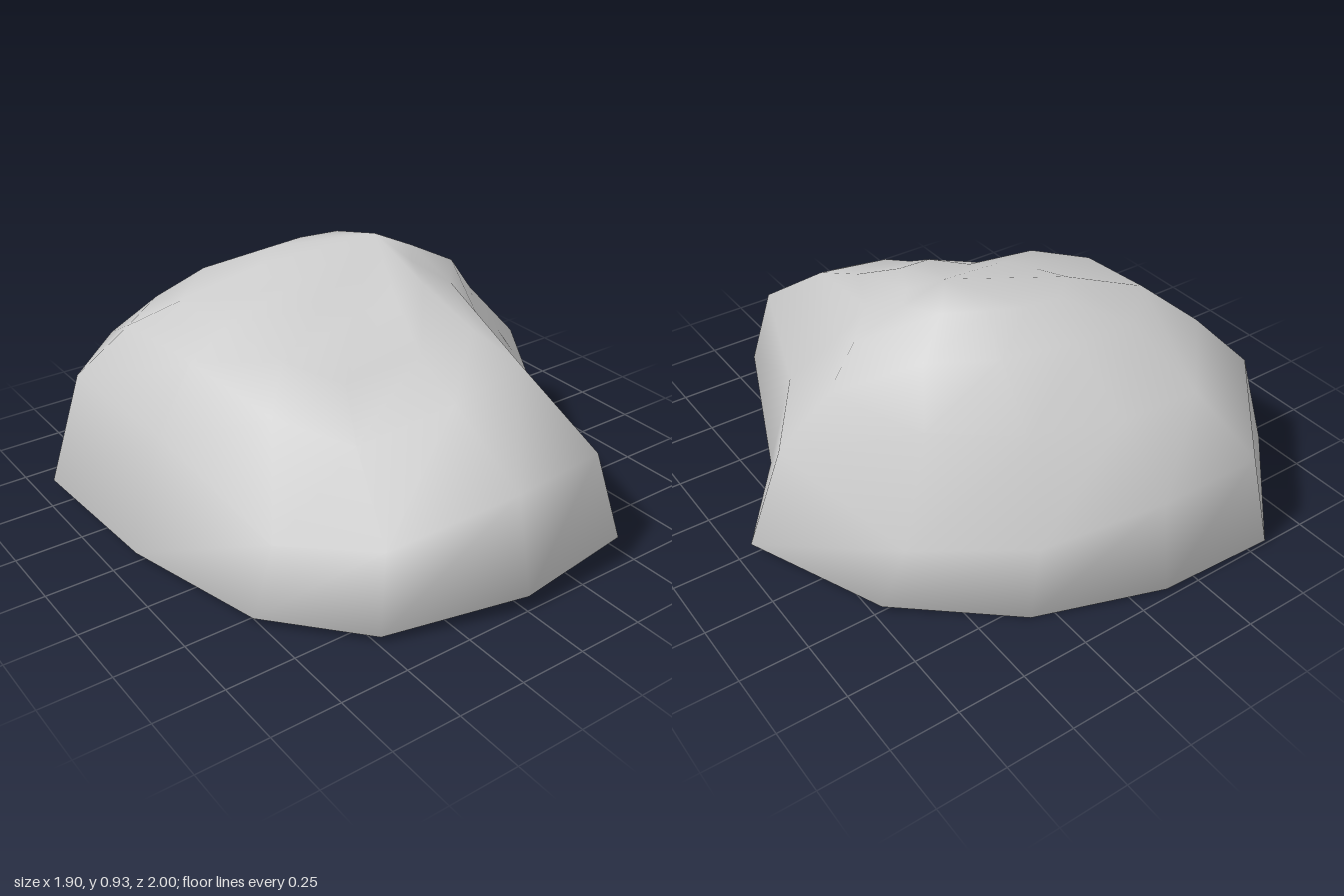
import * as THREE from 'three';

// Ground outline, clockwise seen from above, starting at the back: x, y, z
const OUTLINE = [
  [-0.57, 0.015, -1], [-0.12, 0.015, -0.98], [0.33, 0, -0.81], [0.72, 0.02, -0.5],
  [0.95, 0.045, 0], [0.68, 0.04, 0.37], [0.44, 0.1, 0.97], [0, 0.06, 1],
  [-0.49, 0.025, 0.85], [-0.77, 0.03, 0.54], [-0.91, 0.035, 0], [-0.95, 0.05, -0.59],
];

// Rings above the ground: outline scale and shift in x and z, height at each corner
const RINGS = [
  { sx: 0.86, sz: 0.945, dx: 0, dz: -0.02,
    heights: [0.4, 0.38, 0.26, 0.21, 0.41, 0.42, 0.42, 0.41, 0.28, 0.24, 0.44, 0.46] },
  { sx: 0.675, sz: 0.68, dx: 0, dz: -0.08,
    heights: [0.6, 0.61, 0.6, 0.6, 0.62, 0.64, 0.65, 0.6, 0.5, 0.57, 0.65, 0.65] },
  { sx: 0.54, sz: 0.46, dx: 0.01, dz: -0.06,
    heights: [0.78, 0.79, 0.78, 0.76, 0.77, 0.77, 0.72, 0.69, 0.63, 0.7, 0.76, 0.765] },
  { sx: 0.3, sz: 0.27, dx: 0.065, dz: -0.09,
    heights: [0.87, 0.88, 0.89, 0.88, 0.86, 0.85, 0.83, 0.82, 0.77, 0.79, 0.82, 0.86] },
];

function rockGeometry() {
  const n = OUTLINE.length;
  // Underside rim, ground outline, then the rings of the dome
  const points = OUTLINE.map(([x, y, z]) => [x * 0.84, y, z * 0.84]);
  points.push(...OUTLINE);
  for (const { sx, sz, dx, dz, heights } of RINGS) {
    OUTLINE.forEach(([x, , z], i) => points.push([x * sx + dx, heights[i], z * sz + dz]));
  }

  const index = [];
  const top = points.length - n;
  for (let start = 0; start < top; start += n) {
    for (let i = 0; i < n; i++) {
      const a = start + i, b = start + (i + 1) % n;
      index.push(a, a + n, b, b, a + n, b + n);
    }
  }
  // Peak and underside fans
  const peak = points.push([0.2, 0.93, -0.12]) - 1;
  const base = points.push([0, 0.035, 0]) - 1;
  for (let i = 0; i < n; i++) {
    const j = (i + 1) % n;
    index.push(top + i, peak, top + j, i, j, base);
  }

  const geometry = new THREE.BufferGeometry();
  geometry.setAttribute('position', new THREE.Float32BufferAttribute(points.flat(), 3));
  geometry.setIndex(index);
  geometry.computeVertexNormals();
  return geometry;
}

export function createModel() {
  const group = new THREE.Group();
  group.name = 'boulder';
  const rock = new THREE.Mesh(rockGeometry(), new THREE.MeshStandardMaterial({ color: 0xcccccc }));
  rock.name = 'rock';
  group.add(rock);
  return group;
}
